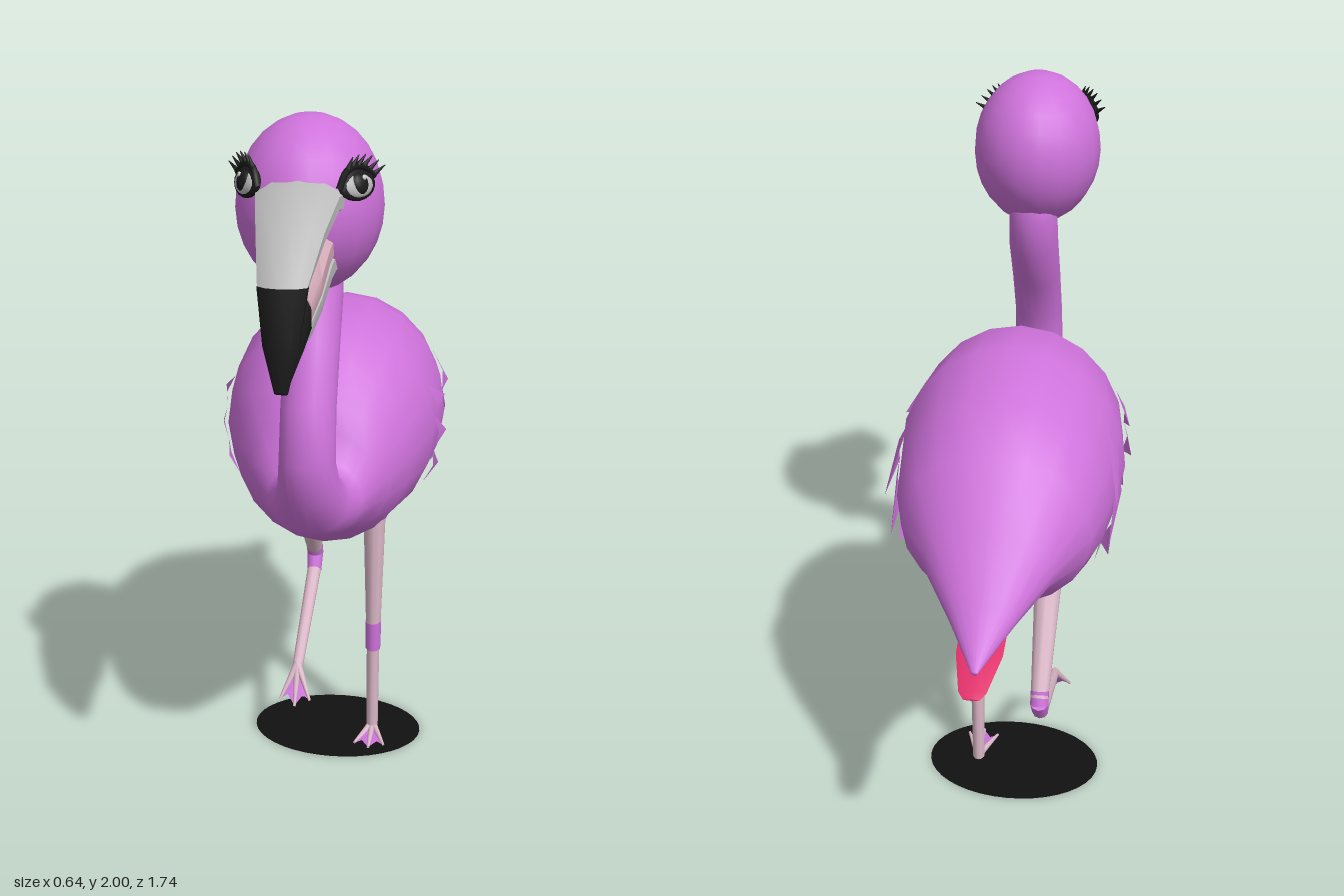
import * as THREE from 'three';
import { toCreasedNormals } from 'three/addons/utils/BufferGeometryUtils.js';

const mat = (color, side = THREE.FrontSide) => new THREE.MeshStandardMaterial({ color, side });
const PLUM = mat(0xcf73dc), PLUM2 = mat(0xcf73dc, THREE.DoubleSide), PINK = mat(0xdcb8c8);
const GREY = mat(0xb9b9b9), BLACK = mat(0x1a1a1a), BLACK2 = mat(0x111111, THREE.DoubleSide);
const MOUTH = mat(0xd2a8b6), RED = mat(0xe0306a), PALE = mat(0xcccccc, THREE.DoubleSide), WHITE = mat(0xffffff);

function add(parent, name, geometry, material) {
  const mesh = new THREE.Mesh(geometry, material);
  mesh.name = name;
  parent.add(mesh);
  return mesh;
}

// Loft of elliptical rings; each section is [zA, yA, zB, yB, halfWidth],
// A and B being opposite ends of the ring in the middle plane.
function loft(sections, sides, crease) {
  const cap = ([za, ya, zb, yb]) => [(za + zb) / 2, (ya + yb) / 2, (za + zb) / 2, (ya + yb) / 2, 0];
  const rings = [cap(sections[0]), ...sections, cap(sections[sections.length - 1])];
  const pos = [], index = [];
  rings.forEach(([za, ya, zb, yb, w], i) => {
    for (let j = 0; j < sides; j++) {
      const t = (j / sides) * Math.PI * 2, c = Math.cos(t);
      pos.push(w * Math.sin(t), (ya + yb) / 2 + ((ya - yb) / 2) * c, (za + zb) / 2 + ((za - zb) / 2) * c);
      if (i === rings.length - 1) continue;
      const a = i * sides + j, b = i * sides + ((j + 1) % sides);
      if (i > 0) index.push(a, b, a + sides);
      if (i < rings.length - 2) index.push(b, b + sides, a + sides);
      else if (i === 0) index.push(b, b + sides, a + sides);
    }
  });
  const g = new THREE.BufferGeometry();
  g.setAttribute('position', new THREE.Float32BufferAttribute(pos, 3));
  g.setIndex(index);
  g.computeVertexNormals();
  return crease ? toCreasedNormals(g, crease) : g;
}

// Tapered round limb between two points
function limb(parent, name, p, q, rp, rq, material) {
  const a = new THREE.Vector3(...p), b = new THREE.Vector3(...q);
  const mesh = add(parent, name, new THREE.CylinderGeometry(rp, rq, a.distanceTo(b), 10), material);
  mesh.position.copy(a).add(b).multiplyScalar(0.5);
  mesh.quaternion.setFromUnitVectors(new THREE.Vector3(0, 1, 0), a.sub(b).normalize());
  return mesh;
}

function triangles(points, index) {
  const g = new THREE.BufferGeometry();
  g.setAttribute('position', new THREE.Float32BufferAttribute(points.flat(), 3));
  g.setIndex(index);
  g.computeVertexNormals();
  return g;
}

// Webbed foot with three toes pointing along +z from the ankle
function foot(name) {
  const g = new THREE.Group();
  g.name = name;
  const web = [[0, 0.014, -0.015], [-0.046, 0.003, 0.1], [-0.023, 0.005, 0.085], [0, 0.004, 0.118],
    [0.023, 0.005, 0.085], [0.046, 0.003, 0.1]];
  add(g, 'web', triangles(web, [0, 1, 2, 0, 2, 3, 0, 3, 4, 0, 4, 5]), PLUM2);
  for (const [x, z] of [[-0.045, 0.1], [0, 0.12], [0.045, 0.1]])
    limb(g, 'toe', [0, 0.012, -0.01], [x, 0.005, z], 0.012, 0.004, PINK);
  return g;
}

// Approximate flank of the body, for placing feathers
const flank = (y, z) => 0.305 * Math.sqrt(Math.max(0, (1 - ((z + 0.1) / 0.62) ** 2) * (1 - ((y - 1.08) / 0.335) ** 2)));

function feather(parent, side, y, z, tipY, tipZ, half, lift, material) {
  const pt = (py, pz, o) => [side * (flank(py, pz) + o), py, pz];
  const pts = [pt(y + half, z, -0.004), pt(y - half, z, -0.004), pt(y, z, 0.006), pt(tipY, tipZ, lift)];
  add(parent, 'feather', triangles(pts, [0, 2, 3, 2, 1, 3]), material);
}

function eye(side) {
  const g = new THREE.Group();
  g.name = side > 0 ? 'leftEye' : 'rightEye';
  g.position.set(side * 0.125, 1.86, 0.535);
  g.lookAt(side * 0.125 + side * 0.8, 1.86 + 0.34, 0.535 + 0.6);
  const ball = (name, x, y, z, sx, sy, sz, m) => {
    const b = add(g, name, new THREE.SphereGeometry(1, 14, 10), m);
    b.position.set(side * x, y, z);
    b.scale.set(sx, sy, sz);
  };
  ball('eyeRim', 0, 0, 0, 0.06, 0.037, 0.014, BLACK);
  ball('iris', 0, -0.003, 0.005, 0.046, 0.028, 0.013, GREY);
  ball('pupil', 0, 0, 0.01, 0.025, 0.025, 0.013, BLACK);
  ball('glint', 0.008, 0.011, 0.021, 0.006, 0.006, 0.004, WHITE);
  // Upper lid and lashes
  const lid = new THREE.CatmullRomCurve3([[-0.062, -0.004, 0.004], [-0.03, 0.033, 0.01], [0.015, 0.038, 0.01],
    [0.066, 0.012, -0.004]].map(([x, y, z]) => new THREE.Vector3(side * x, y, z)));
  add(g, 'eyelid', new THREE.TubeGeometry(lid, 12, 0.008, 6), BLACK);
  for (let i = 0; i < 6; i++) {
    const p = lid.getPoint(0.35 + i * 0.125);
    const tip = [p.x + side * (0.012 + i * 0.004), p.y + 0.026 - i * 0.002, p.z + 0.014];
    limb(g, 'lash', p.toArray(), tip, 0.007, 0.001, BLACK);
  }
  return g;
}

export function createModel() {
  const root = new THREE.Group();
  root.name = 'flamingo';

  // Neck running into body and pointed rear
  add(root, 'neckAndBody', loft([
    [0.25, 1.7, 0.36, 1.72, 0.06], [0.25, 1.61, 0.37, 1.64, 0.068], [0.26, 1.51, 0.39, 1.58, 0.07],
    [0.34, 1.39, 0.45, 1.45, 0.07], [0.4, 1.26, 0.52, 1.31, 0.07], [0.42, 1.15, 0.55, 1.165, 0.072],
    [0.4, 1.11, 0.52, 1.05, 0.08], [0.37, 1.095, 0.46, 0.945, 0.1], [0.33, 1.1, 0.39, 0.9, 0.125],
    [0.3, 1.17, 0.32, 0.87, 0.16], [0.27, 1.23, 0.26, 0.835, 0.19], [0.19, 1.33, 0.2, 0.8, 0.238],
    [0.06, 1.395, 0.05, 0.77, 0.288], [-0.13, 1.415, -0.13, 0.752, 0.307], [-0.34, 1.36, -0.33, 0.775, 0.28],
    [-0.46, 1.28, -0.45, 0.825, 0.245], [-0.59, 1.14, -0.57, 0.91, 0.165], [-0.7, 1.01, -0.69, 0.9, 0.085],
    [-0.815, 0.885, -0.815, 0.875, 0.008]], 20), PLUM);
  add(root, 'tail', loft([[-0.57, 0.922, -0.57, 0.907, 0.06], [-0.74, 0.885, -0.74, 0.872, 0.058],
    [-0.85, 0.855, -0.85, 0.846, 0.034], [-0.87, 0.846, -0.87, 0.842, 0.02]], 8, 0.6), RED);

  // Head
  const head = add(root, 'head', new THREE.SphereGeometry(0.21, 18, 14), PLUM);
  head.position.set(0, 1.788, 0.405);
  head.scale.x = 0.845;

  // Bent beak: upper half, lower half and dark tips
  const beak = new THREE.Group();
  beak.name = 'beak';
  root.add(beak);
  add(beak, 'upperBeak', loft([[0.55, 1.77, 0.55, 1.885, 0.11], [0.61, 1.785, 0.6, 1.875, 0.1],
    [0.69, 1.745, 0.72, 1.81, 0.08], [0.775, 1.69, 0.845, 1.695, 0.057]], 10, 0.7), GREY);
  add(beak, 'upperTip', loft([[0.775, 1.692, 0.847, 1.697, 0.058], [0.812, 1.58, 0.87, 1.57, 0.042],
    [0.838, 1.458, 0.868, 1.472, 0.015]], 10, 0.7), BLACK);
  add(beak, 'lowerBeak', loft([[0.53, 1.63, 0.54, 1.74, 0.088], [0.59, 1.625, 0.6, 1.72, 0.082],
    [0.66, 1.57, 0.68, 1.66, 0.068], [0.725, 1.525, 0.745, 1.62, 0.05]], 10, 0.7), GREY);
  add(beak, 'mouth', loft([[0.55, 1.67, 0.55, 1.785, 0.085], [0.61, 1.66, 0.62, 1.765, 0.08],
    [0.67, 1.6, 0.69, 1.72, 0.069], [0.73, 1.55, 0.75, 1.685, 0.052]], 10, 0.7), MOUTH);
  add(beak, 'lowerTip', loft([[0.725, 1.522, 0.748, 1.69, 0.053], [0.765, 1.495, 0.79, 1.64, 0.042],
    [0.815, 1.465, 0.828, 1.49, 0.014]], 10, 0.7), BLACK);

  for (const side of [1, -1]) {
    root.add(eye(side));
    // Folded wing: short front feathers, long rear feathers
    const wing = new THREE.Group();
    wing.name = side > 0 ? 'leftWing' : 'rightWing';
    root.add(wing);
    for (const [y, tipY, tipZ] of [[1.17, 1.16, -0.045], [1.08, 1.06, -0.03], [0.98, 0.96, -0.025]])
      feather(wing, side, y, 0.05, tipY, tipZ, 0.05, 0.016, PLUM2);
    for (const [y, tipY, tipZ] of [[1.17, 1.09, -0.375], [1.06, 0.99, -0.41], [0.96, 0.925, -0.33]])
      feather(wing, side, y, -0.22, tipY, tipZ, 0.06, 0.03, PLUM2);
    feather(wing, side, 0.935, -0.13, 0.875, -0.285, 0.02, 0.012, PALE);
  }

  // Straight standing leg
  const standing = new THREE.Group();
  standing.name = 'standingLeg';
  standing.position.set(0.11, 0, -0.12);
  root.add(standing);
  const parts = new THREE.Group();
  parts.scale.x = 0.82;
  parts.name = 'shank';
  standing.add(parts);
  limb(parts, 'thigh', [0, 0.87, -0.01], [0, 0.735, 0], 0.13, 0.043, PLUM);
  limb(parts, 'upperLeg', [0, 0.78, 0], [0, 0.38, 0], 0.042, 0.028, PINK);
  limb(parts, 'knee', [0, 0.385, 0], [0, 0.29, 0], 0.03, 0.028, PLUM);
  limb(parts, 'lowerLeg', [0, 0.3, 0], [0, 0.004, 0], 0.024, 0.022, PINK);
  standing.add(foot('standingFoot'));

  // Raised, folded leg
  const raised = new THREE.Group();
  raised.name = 'raisedLeg';
  raised.position.x = -0.11;
  root.add(raised);
  limb(raised, 'thigh', [0, 0.88, -0.15], [0, 0.735, -0.2], 0.12, 0.045, PLUM);
  limb(raised, 'upperLeg', [0, 0.8, -0.165], [0, 0.48, -0.4], 0.042, 0.025, PINK);
  limb(raised, 'knee', [0, 0.5, -0.388], [0, 0.46, -0.405], 0.026, 0.026, PLUM);
  limb(raised, 'knee', [0, 0.47, -0.405], [0, 0.415, -0.375], 0.026, 0.023, PLUM);
  limb(raised, 'lowerLeg', [0, 0.42, -0.38], [0, 0.265, -0.01], 0.022, 0.016, PINK);
  const lifted = foot('raisedFoot');
  lifted.position.set(0, 0.262, -0.02);
  lifted.rotation.x = 0.92;
  raised.add(lifted);

  // Oval base under the feet
  const base = add(root, 'base', new THREE.CircleGeometry(1, 40), BLACK2);
  base.rotation.x = -Math.PI / 2;
  base.scale.set(0.26, 0.175, 1);
  base.position.set(0, 0, -0.12);
  return root;
}
